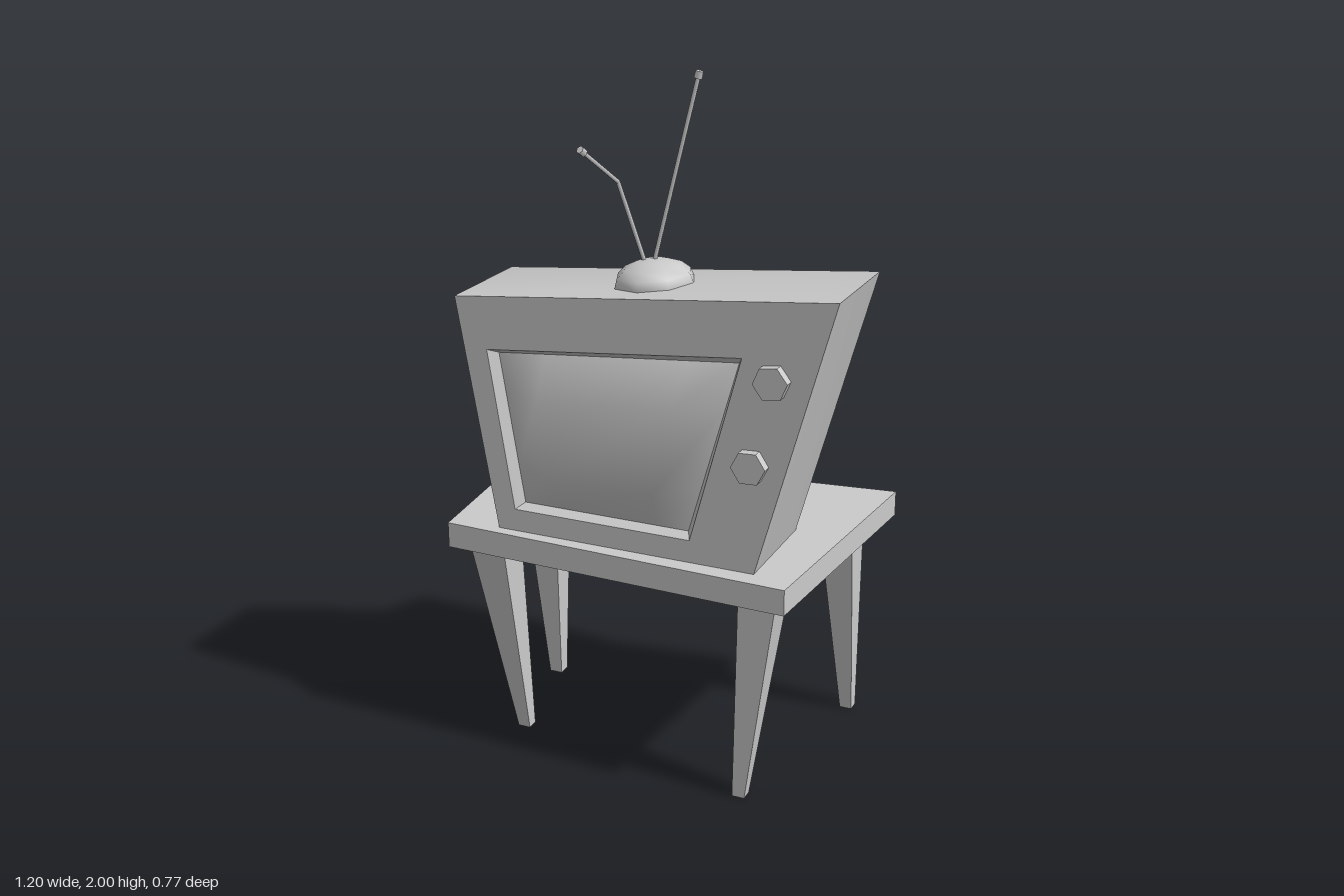
import * as THREE from 'three';
import { mergeGeometries } from 'three/addons/utils/BufferGeometryUtils.js';

const material = new THREE.MeshStandardMaterial({ color: 0xcccccc });

function add(parent, name, geometry) {
  const mesh = new THREE.Mesh(geometry, material);
  mesh.name = name;
  parent.add(mesh);
  return mesh;
}

function buffer(points, index) {
  const g = new THREE.BufferGeometry();
  g.setAttribute('position', new THREE.Float32BufferAttribute(points.flat(), 3));
  g.setIndex(index);
  g.computeVertexNormals();
  return g;
}

// One side of a four-cornered loft, smooth along its length
function strip(rings, i) {
  const points = [], index = [];
  rings.forEach((ring, r) => {
    points.push(ring[i], ring[(i + 1) % 4]);
    if (r) {
      const a = 2 * r - 2;
      index.push(a, a + 2, a + 1, a + 1, a + 2, a + 3);
    }
  });
  return buffer(points, index);
}

// Sides of a loft; corners run counter-clockwise as seen from the first ring
const sides = (rings) => [0, 1, 2, 3].map((i) => strip(rings, i));
const cap = (ring) => buffer(ring, [0, 1, 2, 0, 2, 3]);

function prism(top, bottom) {
  return mergeGeometries([...sides([top, bottom]), cap(top), cap([...bottom].reverse())]);
}

// Horizontal rectangle as a ring
const rect = ([x0, x1, z0, z1], y) => [[x0, y, z1], [x1, y, z1], [x1, y, z0], [x0, y, z0]];

function createTable() {
  const table = new THREE.Group();
  table.name = 'table';

  // Crooked tabletop
  const corners = [[-0.545, 0.355], [0.49, 0.385], [0.555, -0.385], [-0.6, -0.235]];
  const level = (y) => corners.map(([x, z]) => [x, y, z]);
  add(table, 'tableTop', prism(level(0.705), level(0.63)));

  // Tapered legs: top and foot rectangles as x0, x1, z0, z1
  const legs = {
    frontLeftLeg: [[0.335, 0.445, 0.22, 0.325], [0.32, 0.357, 0.275, 0.312]],
    frontRightLeg: [[-0.49, -0.382, 0.22, 0.327], [-0.42, -0.382, 0.17, 0.205]],
    backLeftLeg: [[0.38, 0.482, -0.31, -0.205], [0.433, 0.47, -0.332, -0.295]],
    backRightLeg: [[-0.547, -0.44, -0.205, -0.1], [-0.493, -0.453, -0.182, -0.143]],
  };
  for (const [name, [top, foot]] of Object.entries(legs)) {
    add(table, name, prism(rect(top, 0.632), rect(foot, 0)));
  }
  return table;
}

function createTelevision() {
  const tv = new THREE.Group();
  tv.name = 'television';
  const zFront = 0.325;
  const at = (outline, z) => outline.map(([x, y]) => [x, y, z]);

  // Outlines: bottom right, bottom left, top left, top right of the model
  const front = [[-0.395, 0.705], [0.38, 0.705], [0.597, 1.486], [-0.51, 1.375]];
  const neck = [[-0.22, 0.815], [0.275, 0.815], [0.275, 1.195], [-0.22, 1.195]];
  const back = [[-0.2, 0.825], [0.255, 0.825], [0.22, 1.155], [-0.18, 1.155]];
  const opening = [[-0.342, 0.77], [0.192, 0.77], [0.337, 1.308], [-0.415, 1.233]];
  const screen = [[-0.322, 0.785], [0.178, 0.785], [0.32, 1.285], [-0.392, 1.22]];

  // Cabinet: straight box, tapered shoulder and tube housing
  const rings = [at(front, zFront), at(front, 0), at(neck, -0.19), at(back, -0.335)];
  const shell = [strip(rings, 0), strip(rings, 2)];
  for (const i of [1, 3]) shell.push(strip(rings.slice(0, 3), i), strip(rings.slice(2), i));
  shell.push(cap([...rings[3]].reverse()));
  add(tv, 'cabinet', mergeGeometries(shell));

  // Front panel with the screen opening
  const vec = (outline) => outline.map(([x, y]) => new THREE.Vector2(x, y));
  const panel = new THREE.Shape(vec(front));
  panel.holes.push(new THREE.Path(vec(opening)));
  add(tv, 'frontPanel', new THREE.ShapeGeometry(panel).translate(0, 0, zFront));

  // Bevelled frame sinking to the screen
  const zScreen = 0.298;
  add(tv, 'screenFrame', mergeGeometries(
    sides([at(opening, zFront).reverse(), at(screen, zScreen).reverse()])));

  // Bulging screen: a small grid stretched between the four corners
  const glass = new THREE.PlaneGeometry(1, 1, 3, 3);
  const pos = glass.attributes.position, uv = glass.attributes.uv;
  const steps = [0, 0.2, 0.8, 1], rows = [0, 0.25, 0.75, 1];
  const mix = THREE.MathUtils.lerp;
  for (let n = 0; n < pos.count; n++) {
    const i = Math.round(uv.getX(n) * 3), j = Math.round(uv.getY(n) * 3);
    const u = steps[i], v = rows[j];
    const [x, y] = [0, 1].map((k) => mix(
      mix(screen[0][k], screen[1][k], u), mix(screen[3][k], screen[2][k], u), v));
    const inner = i % 3 !== 0 && j % 3 !== 0;
    pos.setXYZ(n, x, y, inner ? 0.368 : zScreen);
  }
  glass.computeVertexNormals();
  add(tv, 'screen', glass);

  // Hexagonal knobs
  [[0.425, 1.257], [0.368, 1.016]].forEach(([x, y], k) => {
    const knob = new THREE.CylinderGeometry(0.049, 0.049, 0.035, 6).toNonIndexed();
    knob.computeVertexNormals();
    knob.rotateX(Math.PI / 2).rotateZ(Math.PI / 6 + (k ? 0.05 : 0.12));
    add(tv, k ? 'lowerKnob' : 'upperKnob', knob).position.set(x, y, zFront + 0.01);
  });
  return tv;
}

function createAntenna() {
  const antenna = new THREE.Group();
  antenna.name = 'antenna';

  // Dome tilted with the cabinet top
  const dome = add(antenna, 'antennaBase',
    new THREE.SphereGeometry(0.116, 8, 4, 0, Math.PI * 2, 0, Math.PI / 2));
  dome.scale.y = 0.57;
  dome.rotation.z = 0.099;
  dome.position.set(0.01, 1.426, 0.145);

  const up = new THREE.Vector3(0, 1, 0);
  function rod(name, a, b, radius) {
    const dir = b.clone().sub(a);
    const mesh = add(antenna, name, new THREE.CylinderGeometry(radius, radius, dir.length(), 6));
    mesh.position.copy(a).add(b).multiplyScalar(0.5);
    mesh.quaternion.setFromUnitVectors(up, dir.normalize());
  }

  // Straight rod and bent rod, each ending in a small tip
  const rods = {
    straightRod: [[0.005, 1.475, 0.14], [0.127, 1.99, 0.122]],
    bentRod: [[-0.02, 1.475, 0.14], [-0.064, 1.71, 0.213], [-0.101, 1.813, 0.347]],
  };
  for (const [name, path] of Object.entries(rods)) {
    const p = path.map((q) => new THREE.Vector3(...q));
    for (let i = 1; i < p.length; i++) rod(name, p[i - 1], p[i], 0.006);
    const [a, b] = p.slice(-2);
    const half = b.clone().sub(a).setLength(0.01);
    rod(name + 'Tip', b.clone().sub(half), b.clone().add(half), 0.011);
  }
  return antenna;
}

export function createModel() {
  const model = new THREE.Group();
  model.name = 'televisionOnTable';
  model.add(createTable(), createTelevision(), createAntenna());
  return model;
}
